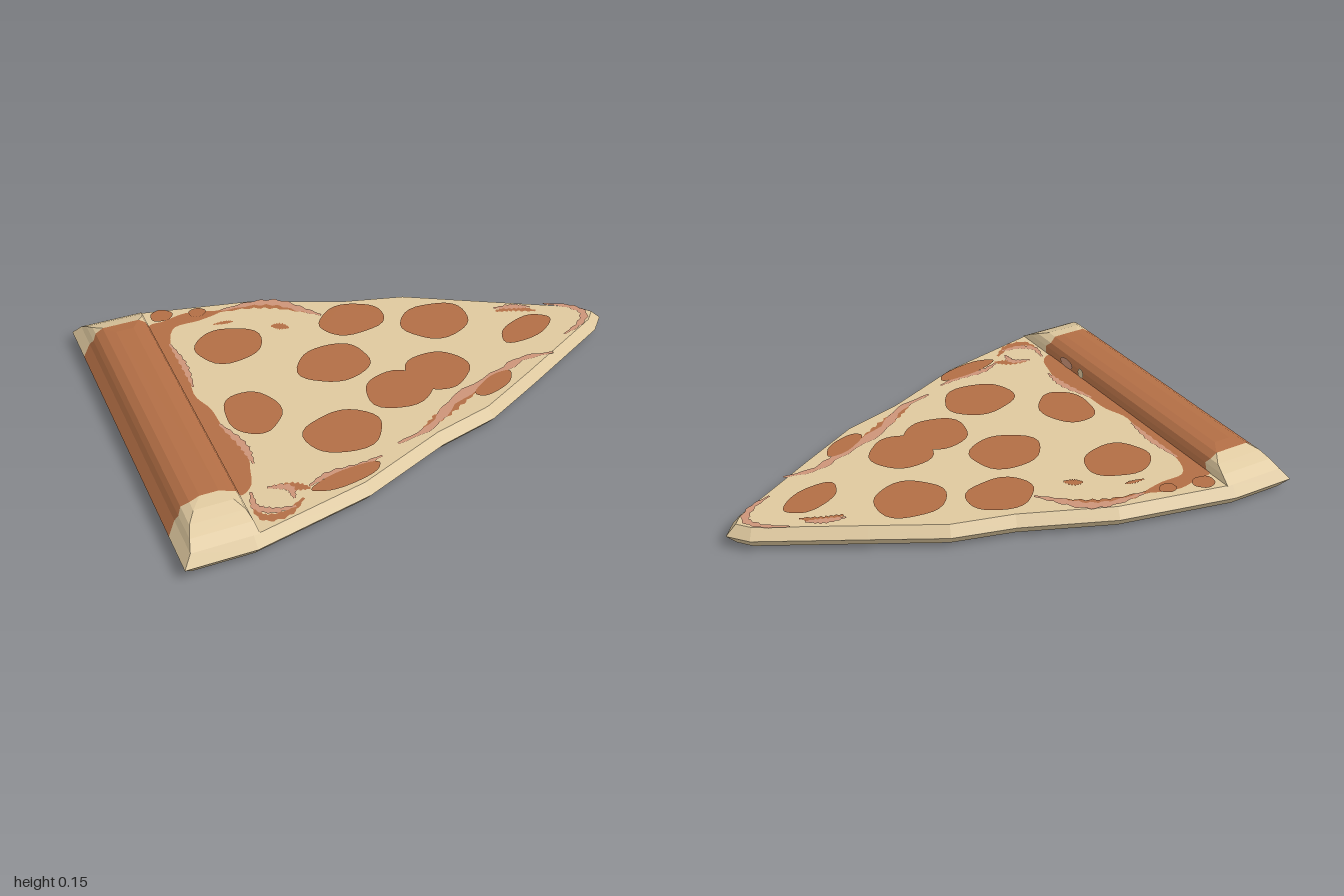
import * as THREE from 'three';

const tan = new THREE.MeshStandardMaterial({ color: 0xdec89e });
const brown = new THREE.MeshStandardMaterial({ color: 0xb26e45 });
const pink = new THREE.MeshStandardMaterial({ color: 0xcc9478 });
tan.name = 'dough tan';
brown.name = 'baked brown';
pink.name = 'sauce pink';
for (const m of [tan, brown, pink]) m.flatShading = true;

// Quad a-b-c-d, turned so that it faces the direction "out"
function addQuad(list, a, b, c, d, out) {
  const [A, B, C, D] = [a, b, c, d].map((p) => new THREE.Vector3(...p));
  const n = C.clone().sub(A).cross(D.clone().sub(B));
  const order = n.dot(new THREE.Vector3(...out)) > 0 ? [A, B, C, A, C, D] : [A, C, B, A, D, C];
  for (const p of order) list.push(p.x, p.y, p.z);
}

function facesMesh(list, material, name) {
  const g = new THREE.BufferGeometry();
  g.setAttribute('position', new THREE.Float32BufferAttribute(list, 3));
  g.computeVertexNormals();
  const mesh = new THREE.Mesh(g, material);
  mesh.name = name;
  return mesh;
}

// Flat shape from [x, z] points, facing up or down at height y
function plate(points, y, material, name, down = false) {
  const g = new THREE.ShapeGeometry(new THREE.Shape(points.map(([x, z]) => new THREE.Vector2(x, down ? z : -z))));
  g.rotateX(down ? Math.PI / 2 : -Math.PI / 2);
  g.translate(0, y, 0);
  const mesh = new THREE.Mesh(g, material);
  mesh.name = name;
  return mesh;
}

function spline(points, n, closed) {
  const curve = new THREE.CatmullRomCurve3(points.map(([x, z]) => new THREE.Vector3(x, 0, z)), closed, 'centripetal');
  const out = curve.getPoints(n).map((p) => [p.x, p.z]);
  return closed ? out.slice(0, -1) : out;
}

// Wobbly oval: centre, radii and turn
function oval(x, z, rx, rz, turn = 0) {
  return Array.from({ length: 28 }, (_, i) => {
    const t = (i / 28) * Math.PI * 2;
    const w = 1 + 0.03 * Math.sin(3 * t + 9 * x) + 0.025 * Math.sin(5 * t + 7 * z);
    const u = Math.cos(t) * rx * w, v = Math.sin(t) * rz * w;
    return [x + u * Math.cos(turn) - v * Math.sin(turn), z + u * Math.sin(turn) + v * Math.cos(turn)];
  });
}

// Ragged ribbon along a path, thin at both ends
function ribbon(path, width) {
  const pts = spline(path, 24, false);
  const left = [], right = [];
  pts.forEach(([x, z], i) => {
    const a = pts[Math.max(i - 1, 0)], b = pts[Math.min(i + 1, 24)];
    const dx = b[0] - a[0], dz = b[1] - a[1], l = Math.hypot(dx, dz);
    const w = (width / 2) * (0.25 + 0.75 * Math.sin((Math.PI * i) / 24)) * (1 + 0.3 * Math.sin(i * 1.9));
    left.push([x - (dz / l) * w, z + (dx / l) * w]);
    right.unshift([x + (dz / l) * w, z - (dx / l) * w]);
  });
  return [...left, ...right];
}

// Outline moved inward by d with mitred corners
function inset(ring, d) {
  const n = ring.length;
  const dir = (a, b) => {
    const l = Math.hypot(b[0] - a[0], b[1] - a[1]);
    return [(b[0] - a[0]) / l, (b[1] - a[1]) / l];
  };
  return ring.map((p, i) => {
    const e = dir(ring[(i + n - 1) % n], p), f = dir(p, ring[(i + 1) % n]);
    const k = d / (1 + e[0] * f[0] + e[1] * f[1]);
    return [p[0] - (e[1] + f[1]) * k, p[1] + (e[0] + f[0]) * k];
  });
}

export function createModel() {
  const model = new THREE.Group();
  const add = (...m) => model.add(...m);

  // Slab: widest at mid height, bevelled above and below, back edge left to the crust
  const outline = [[-1, -0.74], [-0.74, -0.74], [-0.28, -0.64], [0.07, -0.49], [0.31, -0.425], [0.57, -0.28],
    [0.94, -0.075], [1, 0], [0.94, 0.07], [0.55, 0.29], [0.31, 0.42], [0.07, 0.485], [-0.28, 0.635],
    [-0.74, 0.74], [-1, 0.74]];
  const inner = inset(outline, 0.032);
  const rim = [];
  const rings = [[inner, 0], [outline, 0.04], [inner, 0.08]];
  for (let k = 0; k < 2; k++) {
    const [[r, y], [s, h]] = [rings[k], rings[k + 1]];
    for (let i = 0; i < outline.length - 1; i++) {
      const j = i + 1;
      const out = [outline[j][1] - outline[i][1], 0, outline[i][0] - outline[j][0]];
      addQuad(rim, [r[i][0], y, r[i][1]], [r[j][0], y, r[j][1]], [s[j][0], h, s[j][1]], [s[i][0], h, s[i][1]], out);
    }
  }
  add(facesMesh(rim, tan, 'sliceRim'));
  add(plate(inner, 0.08, tan, 'cheeseTop'), plate(inner, 0, tan, 'sliceUnderside', true));

  // Crust levels: y, back x, front x, end z, back and front limits of the browned part
  const levels = [
    [0, -0.968, 0, 0.708, -0.57, 0.55],
    [0.04, -1, 0, 0.74, -0.56, 0.56],
    [0.08, -0.968, -0.72, 0.708, -0.58, 0.53],
    [0.105, -0.955, -0.727, 0.665, -0.56, 0.54],
    [0.125, -0.94, -0.738, 0.62, -0.575, 0.52],
    [0.143, -0.91, -0.765, 0.575, -0.575, 0.53],
    [0.15, -0.87, -0.8, 0.52, -0.52, 0.52],
  ];
  const dough = [], baked = [];
  for (let i = 0; i < levels.length - 1; i++) {
    const [y, b, f, e, lo, hi] = levels[i];
    const [Y, B, F, E, LO, HI] = levels[i + 1];
    const strips = [[dough, -e, -E, lo, LO], [baked, lo, LO, hi, HI], [dough, hi, HI, e, E]];
    for (const [list, z0, Z0, z1, Z1] of strips) {
      addQuad(list, [b, y, z0], [b, y, z1], [B, Y, Z1], [B, Y, Z0], [-1, 0.01, 0]);
      if (i > 1) addQuad(list, [f, y, z0], [f, y, z1], [F, Y, Z1], [F, Y, Z0], [1, 0.01, 0]);
    }
    if (i < 2) continue;
    for (const s of [-1, 1]) {
      const list = i === 5 && s < 0 ? baked : dough;
      addQuad(list, [b, y, s * e], [f, y, s * e], [F, Y, s * E], [B, Y, s * E], [0, 0.01, s]);
    }
  }
  const [ty, tb, tf, te] = levels[6];
  addQuad(baked, [tb, ty, -te], [tf, ty, -te], [tf, ty, te], [tb, ty, te], [0, 1, 0]);
  add(facesMesh(dough, tan, 'crustEnds'), facesMesh(baked, brown, 'bakedCrust'));

  // Small spots on the inner side of the crust
  for (const [z, w, material, name] of [[0.37, 0.045, pink, 'sauceSpot'], [0.265, 0.02, tan, 'doughSpot']]) {
    const spot = new THREE.Mesh(new THREE.CircleGeometry(1, 16), material);
    spot.scale.set(w, 0.02, 1);
    spot.rotation.set(0, Math.PI / 2, 0);
    spot.position.set(-0.718, 0.102, z);
    spot.name = name;
    add(spot);
  }

  // Browned patch below
  add(plate([[-0.968, -0.57], [-0.83, -0.605], [-0.66, -0.51], [-0.41, -0.41], [-0.18, -0.25], [0.04, -0.3],
    [0.35, -0.15], [0.5, -0.05], [0.47, 0.065], [0.28, 0.09], [0.03, 0.056], [-0.22, 0.075], [-0.385, 0.235],
    [-0.5, 0.4], [-0.76, 0.41], [-0.9, 0.5], [-0.968, 0.55]], -0.002, brown, 'bakedUnderside', true));

  // Sauce beside the crust and along the edges
  add(plate(spline([[-0.72, -0.6], [-0.66, -0.61], [-0.55, -0.63], [-0.43, -0.585], [-0.52, -0.56], [-0.63, -0.55],
    [-0.68, -0.42], [-0.66, -0.3], [-0.69, -0.1], [-0.66, 0], [-0.65, 0.15], [-0.61, 0.25], [-0.64, 0.38],
    [-0.67, 0.47], [-0.72, 0.5]], 70, true), 0.082, brown, 'sauceByCrust'));
  const brownStrokes = [
    [[[-0.46, -0.59], [-0.3, -0.575], [-0.2, -0.53], [-0.1, -0.44]], 0.04],
    [[[0.02, 0.42], [0.1, 0.38], [0.2, 0.33], [0.3, 0.29]], 0.045],
    [[[-0.7, 0.56], [-0.68, 0.64], [-0.6, 0.65], [-0.52, 0.6]], 0.035],
    [[[-0.6, 0.5], [-0.53, 0.53], [-0.48, 0.56]], 0.04],
    [[[0.6, -0.15], [0.67, -0.14], [0.75, -0.09]], 0.035],
    [[[-0.27, -0.41], [-0.24, -0.395], [-0.21, -0.37]], 0.04],
    [[[-0.48, -0.51], [-0.43, -0.505], [-0.4, -0.5]], 0.02],
  ];
  const pinkStrokes = [
    [[[-0.42, -0.59], [-0.28, -0.585], [-0.19, -0.55], [-0.12, -0.47], [-0.06, -0.4]], 0.04],
    [[[-0.1, 0.46], [0.05, 0.42], [0.2, 0.31], [0.42, 0.23], [0.55, 0.18], [0.68, 0.19]], 0.04],
    [[[0.8, -0.12], [0.89, -0.06], [0.92, 0], [0.87, 0.06], [0.78, 0.1]], 0.03],
    [[[0.6, -0.17], [0.68, -0.15], [0.74, -0.12]], 0.03],
    [[[-0.68, 0.5], [-0.69, 0.58], [-0.64, 0.62], [-0.56, 0.63]], 0.03],
    [[[-0.62, 0.5], [-0.55, 0.53], [-0.55, 0.59]], 0.03],
    [[[-0.48, 0.55], [-0.4, 0.52], [-0.28, 0.52], [-0.18, 0.5]], 0.03],
    [[[-0.68, -0.45], [-0.67, -0.3], [-0.68, -0.15]], 0.025],
    [[[-0.66, 0.1], [-0.62, 0.25], [-0.62, 0.36]], 0.03],
  ];
  for (const [path, w] of brownStrokes) add(plate(ribbon(path, w), 0.083, brown, 'sauceStreak'));
  for (const [path, w] of pinkStrokes) add(plate(ribbon(path, w), 0.0845, pink, 'paleSauceStreak'));

  // Round toppings
  const toppings = [[-0.47, -0.35, 0.135, 0.115], [0.04, -0.325, 0.135, 0.105], [0.345, -0.185, 0.14, 0.12],
    [-0.135, -0.08, 0.145, 0.12], [-0.525, 0.085, 0.105, 0.13], [-0.255, 0.32, 0.15, 0.12],
    [0.03, 0.17, 0.13, 0.115], [0.215, 0.12, 0.125, 0.12], [0.655, 0.005, 0.125, 0.065, -0.35],
    [-0.34, 0.56, 0.14, 0.04, -0.15], [0.38, 0.28, 0.1, 0.04, -0.45], [-0.655, -0.645, 0.045, 0.04],
    [-0.515, -0.61, 0.035, 0.03]];
  toppings.forEach((t, i) => add(plate(oval(...t), 0.086 + i * 0.0001, brown, 'topping')));

  return model;
}
